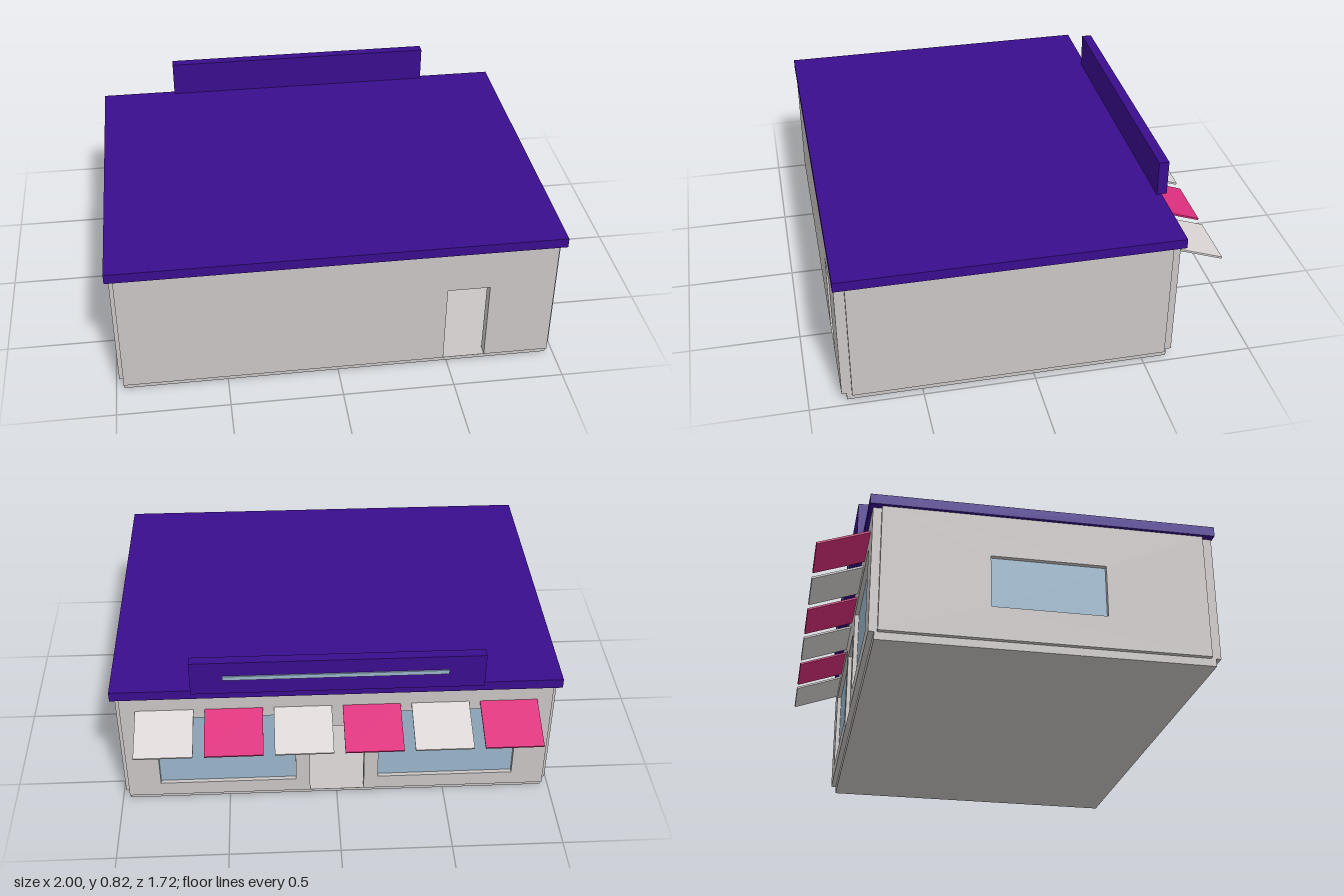
import * as THREE from 'three';

const mat = (name, color) => {
  const m = new THREE.MeshStandardMaterial({ color });
  m.name = name;
  return m;
};

export function createModel() {
  const group = new THREE.Group();
  const wall = mat('warm grey wall', 0xc9c5c4);
  const purple = mat('deep purple', 0x3a0d8e);
  const glass = mat('blue glass', 0x9ab6cc);
  const pink = mat('pink awning', 0xdc2f7c);
  const pale = mat('pale awning', 0xdbd6d5);

  // Box given by its minimum and maximum on each axis
  const box = (name, material, x0, x1, y0, y1, z0, z1) => {
    const mesh = new THREE.Mesh(new THREE.BoxGeometry(x1 - x0, y1 - y0, z1 - z0), material);
    mesh.position.set((x0 + x1) / 2, (y0 + y1) / 2, (z0 + z1) / 2);
    mesh.name = name;
    group.add(mesh);
    return mesh;
  };

  // Upright wall slab with rectangular openings [u0, u1, y0, y1]
  const T = 0.05, Y0 = 0.035, Y1 = 0.615;
  const rect = (target, u0, u1, y0, y1) => {
    target.moveTo(u0, y0);
    target.lineTo(u1, y0);
    target.lineTo(u1, y1);
    target.lineTo(u0, y1);
    target.closePath();
    return target;
  };
  const slab = (name, u0, u1, openings) => {
    const shape = rect(new THREE.Shape(), u0, u1, Y0, Y1);
    openings.forEach((o) => shape.holes.push(rect(new THREE.Path(), ...o)));
    const mesh = new THREE.Mesh(new THREE.ExtrudeGeometry(shape, { depth: T, bevelEnabled: false }), wall);
    mesh.name = name;
    group.add(mesh);
    return mesh;
  };

  // Floor and walls; the wall ends leave a small notch at each corner
  box('floorSlab', wall, -0.965, 0.965, 0, Y0, -0.613, 0.833);
  slab('frontWall', -0.965, 0.965, [[0.48, 0.67, 0.036, 0.422]]).position.z = 0.855 - T;
  slab('backWall', -0.965, 0.965, [
    [-0.815, -0.19, 0.105, 0.495], [0.19, 0.815, 0.105, 0.495], [-0.125, 0.125, 0.036, 0.422],
  ]).position.z = -0.637;
  // The side walls are turned so that their u axis runs along -z
  const left = slab('windowSideWall', -0.81, 0.6, [[-0.365, 0.135, 0.184, 0.422]]);
  left.rotation.y = Math.PI / 2;
  left.position.x = -0.985;
  const right = slab('plainSideWall', -0.81, 0.6, []);
  right.rotation.y = Math.PI / 2;
  right.position.x = 0.985 - T;

  // Recessed window panes
  for (const s of [-1, 1]) {
    const c = s * 0.5025;
    box('backWindow', glass, c - 0.313, c + 0.313, 0.105, 0.495, -0.617, -0.609);
  }
  box('sideWindow', glass, -0.965, -0.957, 0.184, 0.422, -0.135, 0.365);

  // Inside partition and counter
  box('partition', wall, 0.2, 0.23, Y0, Y1, 0.36, 0.805);
  box('counter', wall, 0.3, 0.9, Y0, 0.33, 0.02, 0.14);

  // Roof and sign board with its light strip
  box('roof', purple, -1, 1, Y1, 0.66, -0.652, 0.86);
  box('signBoard', purple, -0.645, 0.642, 0.66, 0.825, -0.676, -0.63);
  box('lightStrip', glass, -0.485, 0.5, 0.735, 0.755, -0.682, -0.676);

  // Row of sloping awnings in alternating colours
  const dz = 0.225, dy = 0.08;
  for (let i = 0; i < 6; i++) {
    const awning = new THREE.Mesh(
      new THREE.BoxGeometry(0.258, 0.009, Math.hypot(dz, dy)), i % 2 ? pale : pink);
    awning.position.set(-0.767 + i * 0.3068, 0.498, -0.749);
    awning.rotation.x = -Math.atan2(dy, dz);
    awning.name = 'awning';
    group.add(awning);
  }
  return group;
}
